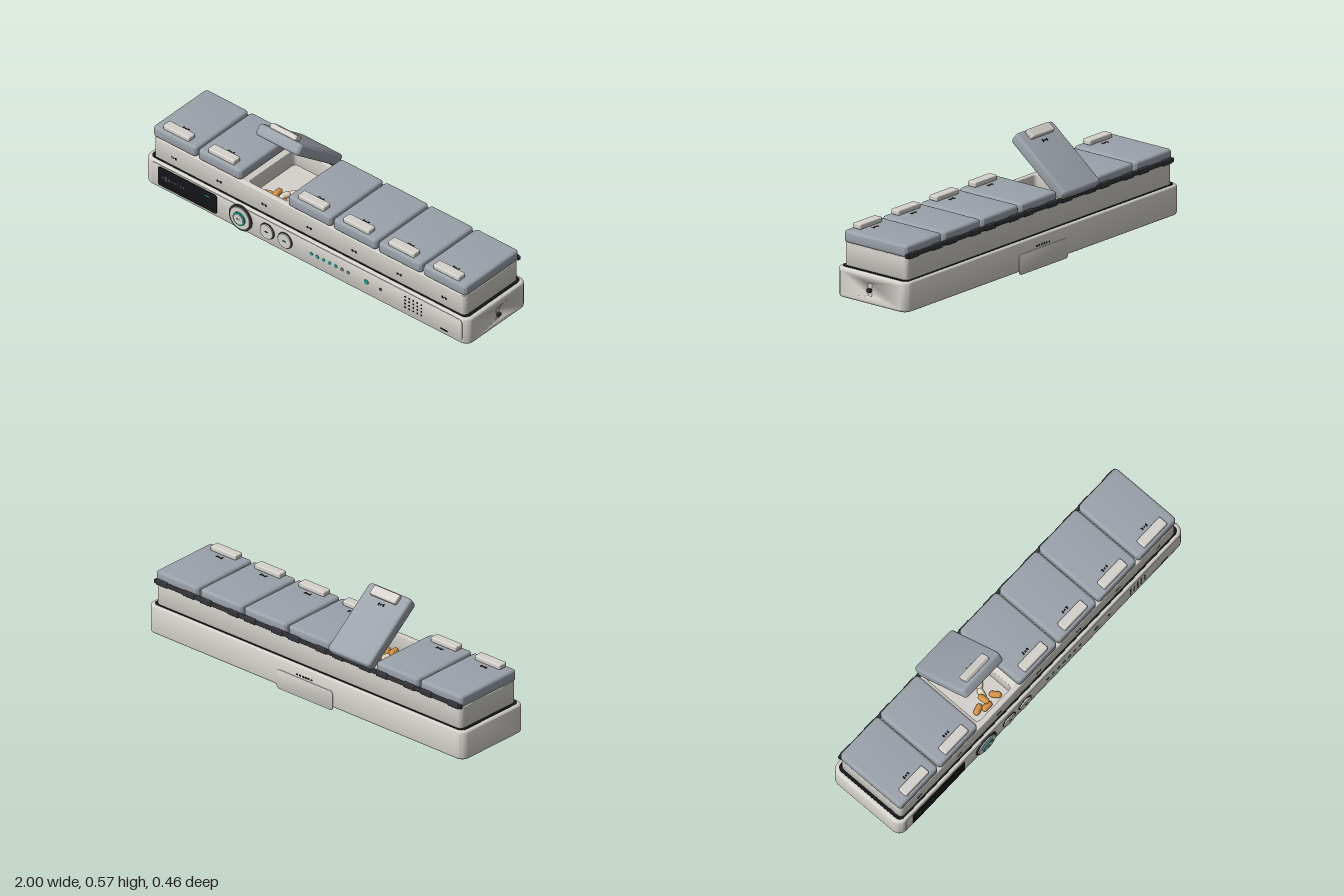
import * as THREE from 'three';
import { toCreasedNormals } from 'three/addons/utils/BufferGeometryUtils.js';
import { RoundedBoxGeometry } from 'three/addons/geometries/RoundedBoxGeometry.js';

const mat = (name, color) => Object.assign(new THREE.MeshStandardMaterial({ color }), { name });

// Rounded rectangle outline, used for shapes and holes
function roundRect(target, cx, cy, w, h, r) {
  const x = cx - w / 2, y = cy - h / 2;
  target.absarc(x + w - r, y + r, r, -Math.PI / 2, 0);
  target.absarc(x + w - r, y + h - r, r, 0, Math.PI / 2);
  target.absarc(x + r, y + h - r, r, Math.PI / 2, Math.PI);
  target.absarc(x + r, y + r, r, Math.PI, Math.PI * 1.5);
  target.closePath();
  return target;
}

// Extruded rounded plate with soft edges, growing along +z from 0
function plate(w, h, depth, r, bevel, hole) {
  const shape = roundRect(new THREE.Shape(), 0, 0, w, h, r);
  if (hole) shape.holes.push(hole);
  const geo = new THREE.ExtrudeGeometry(shape, {
    depth: depth - 2 * bevel, curveSegments: 6, bevelEnabled: bevel > 0, bevelThickness: bevel,
    bevelSize: bevel, bevelOffset: -bevel, bevelSegments: 4,
  });
  geo.translate(0, 0, bevel);
  return toCreasedNormals(geo, 0.6);
}

// The same plate lying down, growing along +y
const slab = (...args) => plate(...args).rotateX(-Math.PI / 2);

export function createModel() {
  const model = new THREE.Group();
  model.name = 'weeklyPillOrganizer';
  const shell = mat('warm light grey', 0xd6d3cd);
  const lidMat = mat('blue grey', 0x9ba2aa);
  const charcoal = mat('charcoal', 0x35363a);
  const black = mat('black', 0x141517);
  const teal = mat('teal', 0x2a9d8f);
  const grey = mat('mid grey', 0x77797c);
  const footMat = mat('rubber grey', 0x5a5a5c);
  const orange = mat('orange', 0xd9954a);
  const cream = mat('cream', 0xeadfc4);

  const add = (name, geo, material, x = 0, y = 0, z = 0, parent = model) => {
    const mesh = new THREE.Mesh(geo, material);
    mesh.name = name;
    mesh.position.set(x, y, z);
    parent.add(mesh);
    return mesh;
  };
  const box = (w, h, d) => new THREE.BoxGeometry(w, h, d);
  // Disc facing the front, from z to z + depth
  const disc = (name, r, depth, material, x, y, z) =>
    add(name, new THREE.CylinderGeometry(r, r, depth, 32).rotateX(Math.PI / 2), material, x, y, z + depth / 2);
  // Abstract row of tiny printed bars
  const marks = (name, x, y, z, size, parent, flat) => {
    for (let i = -1; i <= 1; i++) {
      const h = size * (i ? 1 : 0.6);
      add(name, flat ? box(size * 0.6, 0.002, h) : box(size * 0.6, h, 0.002), black, x + i * size, y, z, parent);
    }
  };

  const cx = -0.0085;

  // Base body, gasket and fascia
  add('base', slab(1.985, 0.432, 0.148, 0.045, 0.014), shell, cx, 0.015, -0.006);
  add('gasket', slab(1.945, 0.4, 0.004, 0.03, 0), black, cx, 0.161, -0.006);
  add('fascia', plate(1.91, 0.125, 0.004, 0.02, 0.001), shell, cx + 0.005, 0.091, 0.208);

  // Feet and bottom vents
  for (const x of [-0.88, 0.86])
    for (const z of [0.15, -0.161]) add('foot', slab(0.075, 0.044, 0.018, 0.012, 0.004), footMat, x, 0, z);
  for (const [x, z] of [[0, 0], [-0.035, -0.03], [0.035, -0.03], [-0.035, 0.03], [0.035, 0.03]])
    add('bottomVent', new THREE.CylinderGeometry(0.007, 0.007, 0.003, 16), charcoal, x, 0.0145, z);

  // Back plate with its print
  add('backPlate', plate(0.35, 0.1, 0.004, 0.015, 0.001), shell, cx, 0.052, -0.225);
  for (let i = 0; i < 6; i++) add('backPrint', box(0.012, 0.008, 0.002), black, -0.05 + i * 0.018, 0.115, -0.2225);

  // Display
  add('display', plate(0.36, 0.108, 0.005, 0.012, 0.001), black, -0.733, 0.092, 0.21);
  [0.012, 0.03, 0.016, 0.006, 0.006, 0.02, 0.02, 0.01].forEach((h, i) =>
    add('displayBar', box(0.005, h, 0.001), grey, -0.88 + i * 0.018, 0.093, 0.2153));
  add('displayDash', box(0.028, 0.006, 0.001), teal, -0.613, 0.117, 0.2153);

  // Large dial
  disc('dialBezel', 0.07, 0.009, charcoal, -0.405, 0.092, 0.209);
  disc('dialBody', 0.06, 0.014, shell, -0.405, 0.092, 0.209);
  disc('dialRing', 0.036, 0.02, teal, -0.405, 0.092, 0.21);
  disc('dialCap', 0.027, 0.0215, shell, -0.405, 0.092, 0.21);
  marks('dialPrint', -0.405, 0.092, 0.2315, 0.007);

  // Small buttons
  for (const x of [-0.243, -0.133]) {
    disc('buttonBezel', 0.044, 0.005, charcoal, x, 0.092, 0.21);
    disc('buttonCap', 0.039, 0.011, shell, x, 0.092, 0.21);
    marks('buttonPrint', x, 0.092, 0.2215, 0.006);
  }

  // Indicator lights, sensor and speaker
  for (let i = 0; i < 7; i++) disc('dayLight', 0.0095, 0.004, i < 5 ? teal : grey, 0.027 + i * 0.0375, 0.092, 0.21);
  disc('statusLight', 0.0135, 0.004, teal, 0.365, 0.092, 0.21);
  disc('sensor', 0.008, 0.004, charcoal, 0.452, 0.092, 0.21);
  for (let i = 0; i < 5; i++)
    for (let j = 0; j < 4; j++) disc('speakerHole', 0.005, 0.003, black, 0.603 + i * 0.025, 0.063 + j * 0.02, 0.21);
  add('cornerPrint', box(0.045, 0.007, 0.002), black, 0.84, 0.048, 0.2125);

  // Softly dished end panel: four faces between an outer and an inner rectangle
  const pos = [], nor = [], idx = [];
  for (const [z, y, tilt] of [[0.185, 0.06, 0], [0.012, 0.031, 0.65]])
    for (const [sz, sy] of [[1, -1], [-1, -1], [-1, 1], [1, 1]]) {
      pos.push(0.985, 0.089 + sy * y, sz * z - 0.005);
      const n = new THREE.Vector3(1, -sy * tilt, -sz * tilt).normalize();
      nor.push(n.x, n.y, n.z);
    }
  for (let i = 0; i < 4; i++) {
    const j = (i + 1) % 4;
    idx.push(i, j, j + 4, i, j + 4, i + 4);
  }
  const panel = new THREE.BufferGeometry();
  panel.setAttribute('position', new THREE.Float32BufferAttribute(pos, 3));
  panel.setAttribute('normal', new THREE.Float32BufferAttribute(nor, 3));
  panel.setIndex(idx);
  add('endPanel', panel, shell);
  add('portSlot', box(0.006, 0.06, 0.022), shell, 0.983, 0.089, -0.005);
  add('portPlug', new RoundedBoxGeometry(0.022, 0.018, 0.021, 2, 0.003), charcoal, 0.99, 0.088, -0.005);

  // Tray with one open compartment
  const pitch = 0.2765, openDay = 2;
  const dayX = (i) => cx + (i - 3) * pitch;
  const hole = roundRect(new THREE.Path(), dayX(openDay) - cx, 0, 0.236, 0.33, 0.02);
  add('tray', slab(1.915, 0.385, 0.113, 0.025, 0.004, hole), shell, cx, 0.163, -0.0055);
  add('compartmentFloor', box(0.24, 0.01, 0.334), shell, dayX(openDay), 0.182, -0.0055);

  // Pills in the open compartment
  const pills = [[-0.05, 0.1, 0.3], [0.02, 0.06, 1.2], [0.06, 0.11, 2.2], [-0.01, 0.12, 0], [0.05, 0.02, 0.7], [0, 0.09, 1.7]];
  pills.forEach(([x, z, turn], i) => {
    const geo = new THREE.CapsuleGeometry(0.016, 0.028, 6, 12).rotateZ(Math.PI / 2).rotateY(turn);
    add('pill', geo, i % 3 === 1 ? cream : orange, dayX(openDay) + x, i === 5 ? 0.226 : 0.203, z);
  });

  // Hinge rail with knuckles
  add('hingeRail', new RoundedBoxGeometry(1.925, 0.02, 0.018, 2, 0.004), charcoal, cx, 0.284, -0.199);
  for (let i = 0; i < 7; i++)
    for (const s of [-1, 1])
      add('hingeKnuckle', new RoundedBoxGeometry(0.07, 0.028, 0.024, 2, 0.005), charcoal, dayX(i) + s * 0.085, 0.284, -0.198);

  // Lids pivot at the rear edge; one stands open
  const lidGeo = slab(0.265, 0.385, 0.059, 0.02, 0.014);
  const tabGeo = new RoundedBoxGeometry(0.16, 0.026, 0.05, 3, 0.007);
  for (let i = 0; i < 7; i++) {
    const lid = new THREE.Group();
    lid.name = 'lid';
    lid.position.set(dayX(i), 0.276, -0.198);
    if (i === openDay) lid.rotation.x = -THREE.MathUtils.degToRad(38);
    add('lidShell', lidGeo, lidMat, 0, 0, 0.1925, lid);
    add('lidTab', tabGeo, shell, 0, 0.071, 0.348, lid);
    marks('lidPrint', 0, 0.0595, 0.3, 0.014, lid, true);
    model.add(lid);
    marks('trayPrint', dayX(i), 0.211, 0.1875, 0.011);
  }
  return model;
}
